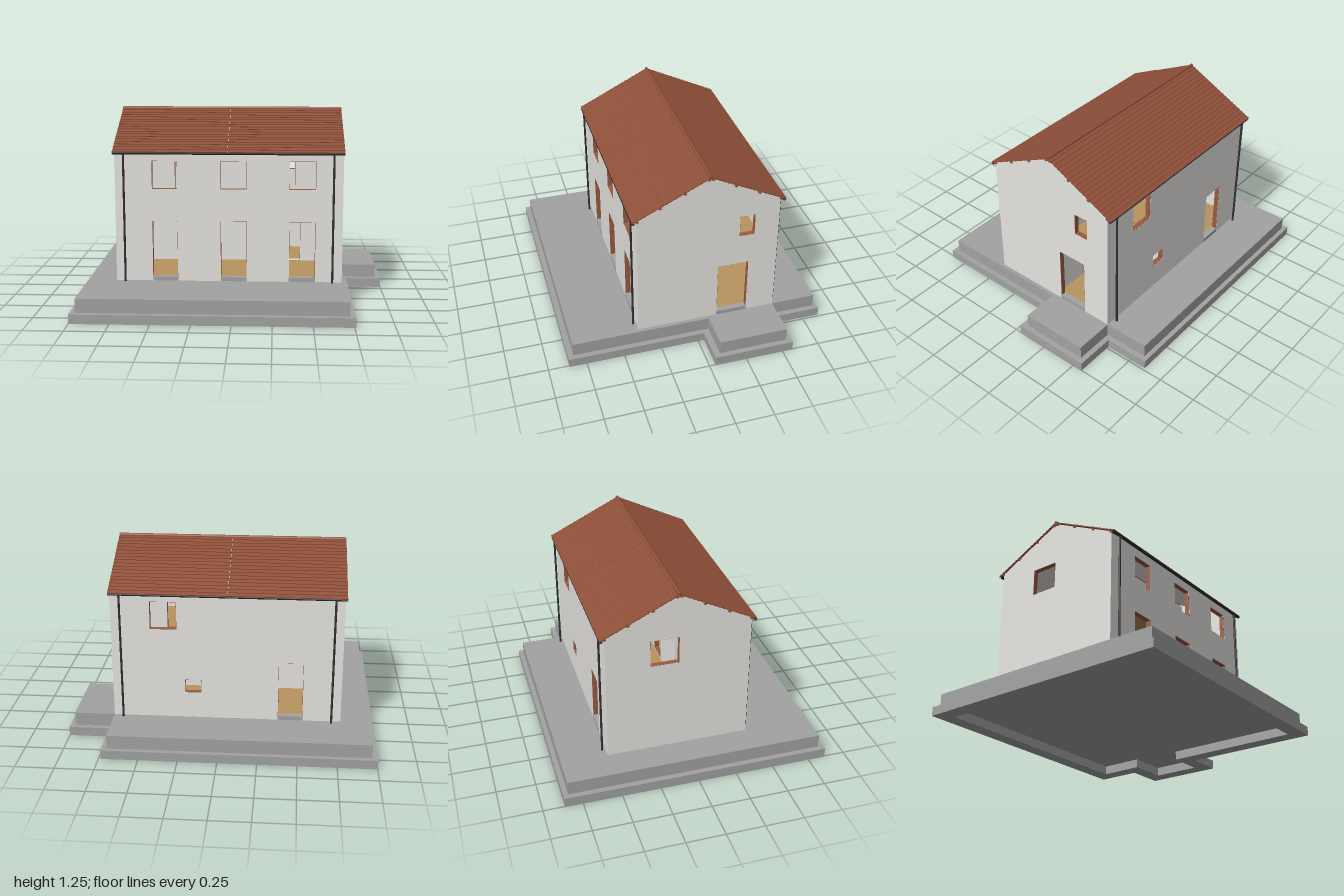
import * as THREE from 'three';
import { mergeGeometries } from 'three/addons/utils/BufferGeometryUtils.js';

const mat = (name, color, side = THREE.FrontSide) => {
  const m = new THREE.MeshStandardMaterial({ color, side });
  m.name = name;
  return m;
};

export function createModel() {
  const plaster = mat('plaster', 0xe7e5e1);
  const concrete = mat('concrete', 0xa3a3a3);
  const tile = mat('roof tile', 0x8f503a);
  const wood = mat('frame wood', 0x9a5b40);
  const flooring = mat('floor boards', 0xb8935f);
  const metal = mat('gutter metal', 0x303238, THREE.DoubleSide);

  const model = new THREE.Group();
  model.name = 'house';
  const X0 = -0.775, X1 = 0.70, Z0 = -0.535, Z1 = 0.39; // outer wall faces
  const T = 0.035, BASE = 0.15, EAVE = 1.0, RIDGE_Z = -0.075;

  const add = (parent, name, geo, material, x = 0, y = 0, z = 0) => {
    const m = new THREE.Mesh(geo, material);
    m.name = name;
    m.position.set(x, y, z);
    parent.add(m);
    return m;
  };
  // Box given by its two corners
  const block = (parent, name, material, a, b) => add(parent, name,
    new THREE.BoxGeometry(b[0] - a[0], b[1] - a[1], b[2] - a[2]), material,
    (a[0] + b[0]) / 2, (a[1] + b[1]) / 2, (a[2] + b[2]) / 2);
  const poly = pts => new THREE.Shape(pts.map(p => new THREE.Vector2(p[0], p[1])));
  const rect = (u0, y0, u1, y1) => [[u0, y0], [u1, y0], [u1, y1], [u0, y1]];

  // Horizontal slab from an outline in x and z
  const slab = (name, outline, hole, y0, y1) => {
    const s = poly(outline);
    if (hole) s.holes.push(poly(hole));
    const g = new THREE.ExtrudeGeometry(s, { depth: y1 - y0, bevelEnabled: false });
    g.rotateX(Math.PI / 2);
    add(model, name, g, concrete, 0, y1, 0);
  };
  // Stepped plinth with a side porch
  const outline = (l, r0, r1, r2, b, p0, p1, f) =>
    [[l, b], [r0, b], [r0, p0], [r1, p0], [r1, p1], [r2, p1], [r2, f], [l, f]];
  slab('foundationRing', outline(-1, 0.735, 1, 0.76, -0.865, -0.57, -0.04, 0.865),
    outline(-0.9, 0.635, 0.9, 0.66, -0.765, -0.47, -0.14, 0.765), 0, 0.06);
  slab('plinth', outline(-0.965, 0.70, 0.965, 0.725, -0.835, -0.535, -0.08, 0.83), null, 0.06, BASE);

  // Wall with openings [u0, y0, u1, y1]; local u runs along the wall, depth along z
  const wall = (name, pts, openings, thick = T) => {
    const group = new THREE.Group();
    group.name = name;
    const s = poly(pts);
    openings.forEach(o => s.holes.push(poly(rect(...o))));
    add(group, name + 'Panel',
      new THREE.ExtrudeGeometry(s, { depth: thick, bevelEnabled: false }), plaster);
    const e = 0.0015, d0 = 0.001, d1 = thick - 0.001;
    for (const [u0, y0, u1, y1] of openings) {
      block(group, 'frameSide', wood, [u0, y0, d0], [u0 + e, y1, d1]);
      block(group, 'frameSide', wood, [u1 - e, y0, d0], [u1, y1, d1]);
      block(group, 'frameHead', wood, [u0, y1 - e, d0], [u1, y1, d1]);
      if (y0 > 0.2) block(group, 'frameSill', wood, [u0, y0, d0], [u1, y0 + e, d1]);
      else block(group, 'doorStep', concrete, [u0, BASE, -0.002], [u1, 0.177, thick + 0.002]);
    }
    model.add(group);
    return group;
  };

  // Roof slope, shared by the gables and the tiles
  const RUN = 0.49, RISE = 0.24, TOP = 1.243, ROWS = 18;
  const under = z => TOP - 0.007 - Math.abs(z - RIDGE_Z) * RISE / RUN;

  const D0 = 0.175, D1 = 0.55, W0 = 0.76, W1 = 0.945;
  const longWall = rect(X0, BASE, X1, EAVE);
  const gable = [[Z0 + T, BASE], [Z1 - T, BASE], [Z1 - T, EAVE], [Z1, EAVE], [Z1, under(Z1)],
    [RIDGE_Z, under(RIDGE_Z)], [Z0, under(Z0)], [Z0, EAVE], [Z0 + T, EAVE]];

  // Outer walls
  const bays = [[-0.535, -0.37], [-0.09, 0.08], [0.355, 0.525]];
  wall('frontWall', longWall,
    bays.flatMap(([a, b]) => [[a, D0, b, D1], [a, W0, b, W1]])).position.z = Z1 - T;
  wall('backWall', longWall, [[-0.53, D0, -0.37, D1], [0.125, 0.325, 0.23, 0.415],
    [0.28, W0, 0.45, W1]]).position.z = Z0;
  const turned = (name, openings, x, pts = gable, thick = T) => {
    const w = wall(name, pts, openings, thick);
    w.rotation.y = -Math.PI / 2;
    w.position.x = x;
  };
  turned('leftGableWall', [[-0.345, D0, -0.14, D1], [-0.375, 0.765, -0.275, 0.915]], X1);
  turned('rightGableWall', [[-0.255, 0.765, -0.07, W1]], X0 + T);

  // Inner floors and partitions
  const inner = (name, y0, y1) => block(model, name, flooring,
    [X0 + T, y0, Z0 + T], [X1 - T, y1, Z1 - T]);
  inner('groundFloor', BASE, 0.175);
  inner('upperFloor', 0.555, 0.585);
  wall('lowerPartition', rect(X0 + T, 0.175, X1 - T, 0.555),
    [[-0.27, 0.18, -0.13, 0.475], [0.30, 0.18, 0.44, 0.475]], 0.03).position.z = -0.11;
  wall('upperPartition', rect(X0 + T, 0.585, X1 - T, 1.21),
    [[-0.435, 0.59, -0.30, 0.915], [0.26, 0.59, 0.40, 0.96]], 0.03).position.z = -0.09;
  turned('crossPartition', [[-0.325, 0.18, -0.135, 0.475]], 0.1,
    rect(Z0 + T, 0.175, -0.11, 0.555), 0.03);

  // Roof: overlapping tile courses on each slope
  const pitch = Math.atan2(RISE, RUN), step = Math.hypot(RUN, RISE) / ROWS;
  const panels = [[-0.785, -0.046], [-0.044, 0.691], [0.6915, 0.706]];
  for (const side of [1, -1]) {
    const courses = [];
    for (let i = 0; i < ROWS; i++) {
      const t = (i + 0.5) / ROWS;
      for (const [a, b] of panels) {
        const g = new THREE.BoxGeometry(b - a, 0.006, step * 1.12);
        g.rotateX(side * (pitch - 0.13));
        g.translate((a + b) / 2, TOP - RISE * t, RIDGE_Z + side * RUN * t);
        courses.push(g);
      }
    }
    add(model, side > 0 ? 'frontRoofTiles' : 'backRoofTiles', mergeGeometries(courses), tile);

    // Plastered lining between the gables
    const lining = add(model, 'roofLining',
      new THREE.BoxGeometry(X1 - X0 - 2 * T, 0.004, 0.46 / Math.cos(pitch)), plaster,
      (X0 + X1) / 2, under(RIDGE_Z + 0.23) - 0.001, RIDGE_Z + side * 0.23);
    lining.rotation.x = side * pitch;

    // Purlin ends showing at the gables
    for (const d of [0.012, 0.16, 0.315, 0.46]) {
      for (const x of [X0 + 0.012, X1 - 0.012]) {
        const p = add(model, 'purlinEnd', new THREE.BoxGeometry(0.036, 0.012, 0.018), wood,
          x, TOP - 0.012 - RISE * d / RUN, RIDGE_Z + side * d);
        p.rotation.x = side * pitch;
      }
    }

    // Gutter trough, open side up, and downpipes
    const gz = side > 0 ? 0.41 : -0.558;
    const gutter = new THREE.CylinderGeometry(0.011, 0.011, 1.49, 12, 1, true, -Math.PI / 2, Math.PI);
    gutter.rotateX(Math.PI / 2); // half round now faces down
    gutter.rotateY(Math.PI / 2);
    add(model, 'gutter', gutter, metal, -0.04, 0.999, gz);
    for (const x of [-0.715, 0.637]) {
      add(model, 'downpipe', new THREE.CylinderGeometry(0.007, 0.007, 0.84, 12), metal, x, 0.57, gz);
    }
  }
  // Ridge cap
  const ridge = new THREE.CylinderGeometry(0.012, 0.012, 1.491, 12);
  ridge.rotateZ(Math.PI / 2);
  add(model, 'ridgeCap', ridge, tile, -0.0395, 1.243, RIDGE_Z);

  return model;
}
